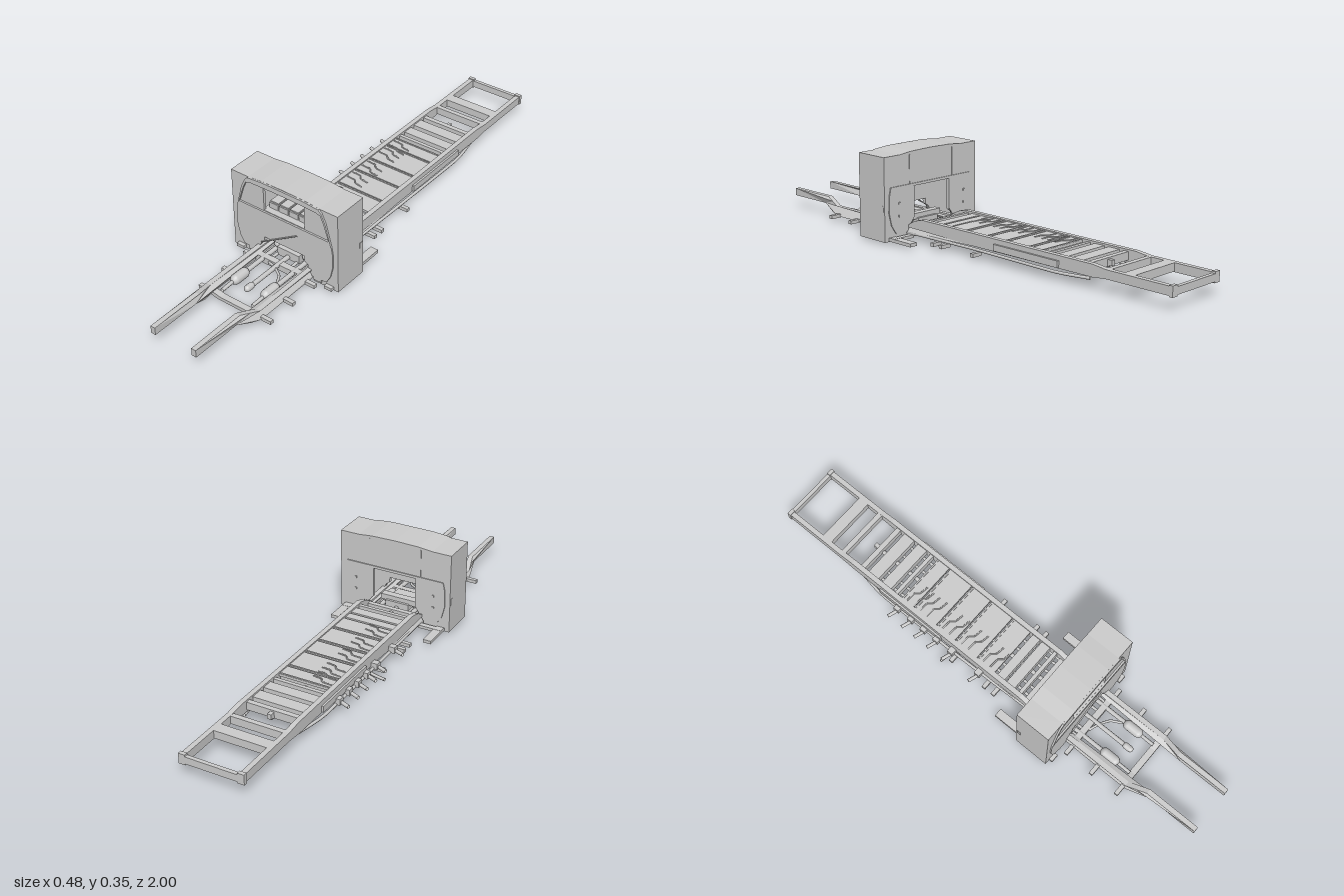
import * as THREE from 'three';

const mat = new THREE.MeshStandardMaterial({ color: 0xcccccc, flatShading: true, side: THREE.DoubleSide });
const smooth = new THREE.MeshStandardMaterial({ color: 0xcccccc, side: THREE.DoubleSide });

export function createModel() {
  const root = new THREE.Group();
  const add = (name, geo, m = mat) => {
    const mesh = new THREE.Mesh(geo, m);
    mesh.name = name;
    root.add(mesh);
    return mesh;
  };
  // Box given by its limits on each axis
  const box = (name, x0, x1, y0, y1, z0, z1) =>
    add(name, new THREE.BoxGeometry(x1 - x0, y1 - y0, z1 - z0)
      .translate((x0 + x1) / 2, (y0 + y1) / 2, (z0 + z1) / 2));
  const pair = (name, x0, x1, ...r) => {
    box(name + 'Left', x0, x1, ...r);
    box(name + 'Right', -x1, -x0, ...r);
  };
  const pipe = (name, pts, r) => {
    const c = new THREE.CatmullRomCurve3(pts.map(p => new THREE.Vector3(...p)), false, 'catmullrom', 0.2);
    return add(name, new THREE.TubeGeometry(c, pts.length * 6, r, 8), smooth);
  };
  const can = (name, x, y, z, r, len) =>
    add(name, new THREE.CapsuleGeometry(r, len - 2 * r, 4, 12).rotateX(Math.PI / 2).translate(x, y, z), smooth);
  const poly = pts => new THREE.Shape(pts.map(p => new THREE.Vector2(...p)));
  const plate = (name, shape, z0, z1) =>
    add(name, new THREE.ExtrudeGeometry(shape, { depth: z1 - z0, bevelEnabled: false, curveSegments: 10 }).translate(0, 0, z0));
  const mirror = half => [...half, ...half.map(([x, y]) => [-x, y]).reverse()];
  const rect = (x, y0, y1) => poly([[-x, y0], [-x, y1], [x, y1], [x, y0]]);

  // Side rails: stepped side profile, drawn in towards the front
  const profile = [[-1, 0.053], [-0.72, 0.053], [-0.66, 0.047], [-0.1, 0.045], [0.16, 0.037], [0.25, 0.02], [0.7, 0.02],
    [0.74, 0.028], [0.8, 0.053], [1, 0.053], [1, 0.083], [0.78, 0.083], [0.74, 0.072], [0.7, 0.06], [0.27, 0.06],
    [0.23, 0.082], [0.19, 0.093], [-0.66, 0.093], [-0.72, 0.086], [-1, 0.086]];
  for (const s of [1, -1]) {
    const g = new THREE.ExtrudeGeometry(poly(profile), { depth: 0.02, bevelEnabled: false })
      .rotateY(-Math.PI / 2).translate(s * 0.115 + 0.01, 0, 0);
    const p = g.attributes.position;
    for (let i = 0; i < p.count; i++) {
      const t = THREE.MathUtils.clamp((p.getZ(i) - 0.7) / 0.08, 0, 1);
      p.setX(i, p.getX(i) - s * 0.023 * t);
    }
    g.computeVertexNormals();
    add(s > 0 ? 'railLeft' : 'railRight', g);
    box('rearCap', s * 0.115 - 0.013, s * 0.115 + 0.013, 0.05, 0.09, -1, -0.985);
  }

  // Rear and middle cross members
  box('rearCrossMember', -0.11, 0.11, 0.055, 0.083, -1, -0.985);
  for (const [z0, z1] of [[-0.83, -0.785], [-0.73, -0.71], [-0.63, -0.61], [-0.59, -0.54], [-0.52, -0.475], [-0.455, -0.44],
    [0.065, 0.1], [0.11, 0.15], [0.17, 0.185], [0.2, 0.225], [0.245, 0.265]]) {
    const drop = z0 > 0.19 ? 0.025 : 0;
    box('crossMember', -0.107, 0.107, 0.055 - drop, 0.086 - drop, z0, z1);
  }

  // Deck panels with narrow gaps and stiffening ribs beneath
  const seams = [-0.42, -0.355, -0.24, -0.145, -0.035, 0.055];
  for (let i = 0; i < seams.length - 1; i++) {
    box('deckPanel', -0.107, 0.107, 0.078, 0.088, seams[i] + 0.003, seams[i + 1] - 0.003);
    box('deckRib', -0.107, 0.107, 0.05, 0.078, seams[i] + 0.01, seams[i] + 0.03);
    box('deckSeam', -0.1, 0.1, 0.088, 0.091, seams[i] + 0.004, seams[i] + 0.01);
    for (const k of [0, 1]) {
      const z = seams[i] + 0.025 + k * 0.035;
      pipe('deckHose', [[-0.1, 0.088, z], [-0.06, 0.089, z + 0.003], [-0.045, 0.09, z + 0.02], [-0.01, 0.088, z + 0.025]], 0.003);
    }
  }
  box('valve', -0.008, 0.008, 0.06, 0.08, -0.65, -0.63);

  // Lines and shafts under the deck
  for (const x of [-0.085, -0.05, 0.04, 0.085])
    pipe('underPipe', [[x, 0.052, -0.6], [x, 0.048, -0.3], [x * 0.9, 0.042, 0.1], [x, 0.038, 0.27], [x, 0.038, 0.46]], 0.006);
  pipe('driveShaft', [[0, 0.06, -0.64], [0, 0.055, -0.2], [0, 0.046, 0.2], [0, 0.046, 0.62]], 0.009);
  for (const s of [1, -1]) {
    pipe('sidePipe', [[s * 0.11, 0.036, -0.64], [s * 0.132, 0.034, -0.5], [s * 0.132, 0.038, -0.1], [s * 0.12, 0.03, 0.25]], 0.006);
    box('sideSkirt', s * 0.13 - 0.004, s * 0.13 + 0.004, 0.05, 0.075, -0.51, -0.2);
  }

  // Side brackets and outriggers
  for (const z of [-0.42, -0.35, -0.285, -0.22, -0.145, -0.01]) {
    pipe('sideBracket', [[-0.11, 0.045, z + 0.012], [-0.15, 0.042, z + 0.008], [-0.185, 0.04, z - 0.004]], 0.007);
    box('bracketFoot', -0.15, -0.12, 0.035, 0.06, z - 0.005, z + 0.02);
  }
  pipe('exhaust', [[-0.06, 0.04, 0.0], [-0.09, 0.02, -0.08], [-0.12, 0.008, -0.14], [-0.185, 0.007, -0.155]], 0.006);
  for (const z of [-0.12, 0.045, 0.09, 0.45, 0.57, 0.69])
    pair('outrigger', 0.12, 0.165, 0.016, 0.03, z - 0.008, z + 0.008);
  pair('bodyMount', 0.187, 0.22, 0.012, 0.025, 0.15, 0.43);
  pair('mountArm', 0.12, 0.22, 0.014, 0.026, 0.24, 0.262);

  // Front bay: cross members, bowed beam, tanks and lines
  box('bayCrossMember', -0.107, 0.107, 0.025, 0.05, 0.435, 0.46);
  plate('bowedBeam', poly(mirror([[-0.11, 0.034], [-0.08, 0.03], [-0.06, 0.026], [0, 0.026]]).concat(
    mirror([[0.11, 0.02], [0.08, 0.013], [0.02, 0.012]]))), 0.675, 0.7);
  for (const s of [1, -1]) {
    can('tank', s * 0.07, 0.043, 0.585, 0.02, 0.085);
    pipe('tankLine', [[s * 0.07, 0.043, 0.27], [s * 0.07, 0.043, 0.55]], 0.009);
    pipe('tankTail', [[s * 0.07, 0.043, 0.61], [s * 0.07, 0.04, 0.68]], 0.007);
  }
  can('shaftCoupling', 0, 0.047, 0.615, 0.013, 0.045);
  pipe('bayHose', [[-0.04, 0.04, 0.46], [0.0, 0.045, 0.475], [0.04, 0.043, 0.5], [0.062, 0.043, 0.54]], 0.005);

  // Cab section shell: open ring with an arched roof
  const arch = [[-0.24, 0.34], [-0.16, 0.34], [-0.1, 0.346], [0, 0.348], [0.1, 0.346], [0.16, 0.34], [0.24, 0.34]];
  const ring = poly([[0.24, 0.01], ...arch.slice().reverse(), [-0.24, 0.01], [-0.13, 0.01], [-0.13, 0.02], [-0.23, 0.02],
    [-0.23, 0.33], [0.23, 0.33], [0.23, 0.02], [0.13, 0.02], [0.13, 0.01]]);
  plate('cabShell', ring, 0.272, 0.412);

  // Front wall with window opening and tunnel for the frame
  const tunnel = mirror([[-0.24, 0.01], [-0.13, 0.01], [-0.13, 0.03], [-0.107, 0.075], [-0.092, 0.085], [-0.092, 0.107]]);
  const wall = () => poly([...tunnel, ...arch.slice().reverse()]);
  const front = wall();
  front.holes.push(rect(0.092, 0.224, 0.325));
  plate('frontWall', front, 0.404, 0.415);

  // Raised cab front: lower panel and window surround
  const lower = [[-0.165, 0.032], [-0.19, 0.034], [-0.208, 0.065], [-0.219, 0.11], [-0.22, 0.165], [-0.214, 0.2], [-0.207, 0.215]];
  plate('lowerFrontPanel', poly([...mirror([[-0.092, 0.107], [-0.092, 0.085], [-0.107, 0.075], [-0.125, 0.032], ...lower])]), 0.415, 0.42);
  const surround = poly(mirror([[-0.214, 0.2], [-0.19, 0.29], [-0.172, 0.329], [-0.16, 0.34], [-0.09, 0.346]]));
  surround.holes.push(poly(mirror([[-0.204, 0.221], [-0.183, 0.285], [-0.168, 0.317], [-0.15, 0.323], [-0.05, 0.326]])));
  plate('windowSurround', surround, 0.415, 0.422);
  pair('frontFoot', 0.187, 0.22, 0.015, 0.025, 0.41, 0.424);
  pair('lowerStep', 0.13, 0.167, 0.02, 0.033, 0.41, 0.42);
  pipe('diagonalRod', [[-0.105, 0.08, 0.422], [0.064, 0.183, 0.422]], 0.003);

  // Shelf and cases behind the window
  box('shelf', -0.1, 0.1, 0.212, 0.224, 0.275, 0.405);
  for (let i = 0; i < 4; i++) {
    const x = -0.09 + i * 0.045;
    box('case', x + 0.002, x + 0.043, 0.224, 0.247, 0.3, 0.39);
    box('caseLid', x + 0.004, x + 0.041, 0.247, 0.252, 0.305, 0.385);
  }
  pipe('shelfRod', [[-0.02, 0.28, 0.32], [0.03, 0.25, 0.33]], 0.002);

  // Rear wall with doorway and raised rounded panel
  const rear = poly([...tunnel.slice(0, 4), [-0.092, 0.085], [-0.092, 0.21], [0.092, 0.21], [0.092, 0.085],
    ...tunnel.slice(-4), ...arch.slice().reverse()]);
  plate('rearWall', rear, 0.27, 0.28);
  plate('rearPanel', poly(mirror([[-0.092, 0.21], [-0.092, 0.09], [-0.13, 0.035], [-0.185, 0.035], [-0.208, 0.07],
    [-0.22, 0.12], [-0.218, 0.185], [-0.21, 0.22]])), 0.266, 0.27);
  pair('rearSeam', 0.11, 0.113, 0.22, 0.335, 0.268, 0.272);
  for (const x of [-0.17, 0.17]) for (const y of [0.1, 0.15]) box('rearLatch', x - 0.004, x + 0.004, y, y + 0.008, 0.262, 0.27);
  pair('sideHinge', 0.238, 0.242, 0.128, 0.152, 0.275, 0.29);

  // Transmission block inside the tunnel
  box('transmission', -0.05, 0.05, 0.035, 0.07, 0.29, 0.4);
  box('transmissionCover', -0.075, 0.075, 0.065, 0.088, 0.3, 0.33);
  for (const s of [1, -1]) can('sideHousing', s * 0.065, 0.062, 0.35, 0.016, 0.08);
  return root;
}
